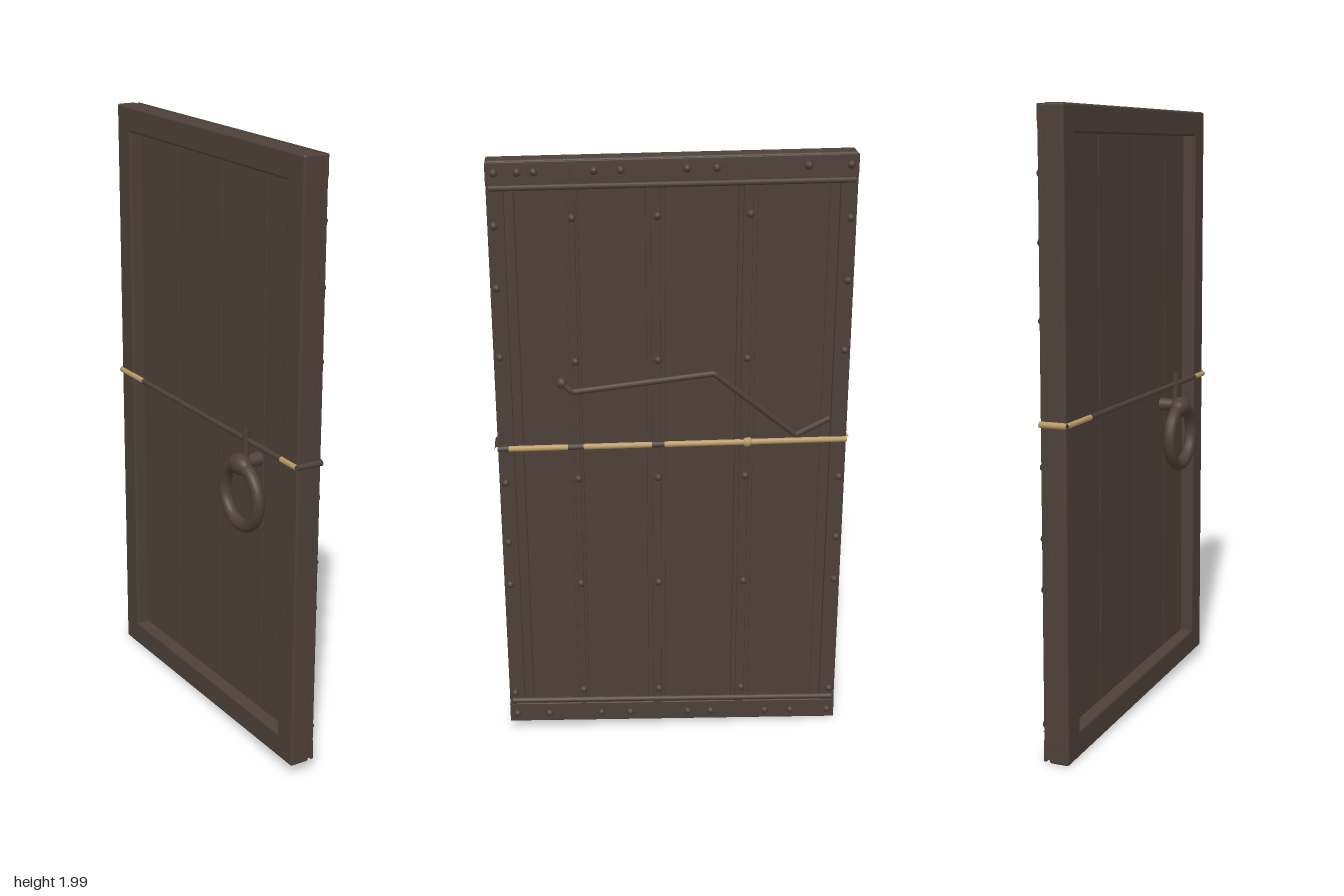
import * as THREE from 'three';
import { RoundedBoxGeometry } from 'three/addons/geometries/RoundedBoxGeometry.js';

export function createModel() {
  const root = new THREE.Group();
  root.name = 'door';
  const wood = new THREE.MeshStandardMaterial({ color: 0x4d4038 });
  wood.name = 'dark brown';
  const straw = new THREE.MeshStandardMaterial({ color: 0xb99a66 });
  straw.name = 'rope tan';
  const W = 0.565;

  // Worn door: the bottom edge rises and the top edge drops towards +z
  const sag = (y, z) => {
    const t = (z / W + 1) / 2;
    const bottom = 0.005 + 0.037 * t, top = 2 - 0.01 * t;
    return bottom + (top - bottom) * y / 2;
  };
  const add = (name, geometry, material = wood) => {
    const mesh = new THREE.Mesh(geometry, material);
    mesh.name = name;
    root.add(mesh);
    return mesh;
  };
  // Box given by its limits, following the sag
  const slab = (name, x0, x1, y0, y1, z0, z1, r = 0.004) => {
    const g = new RoundedBoxGeometry(x1 - x0, y1 - y0, z1 - z0, 2, r);
    g.translate((x0 + x1) / 2, (y0 + y1) / 2, (z0 + z1) / 2);
    const p = g.attributes.position;
    for (let i = 0; i < p.count; i++) p.setY(i, sag(p.getY(i), p.getZ(i)));
    return add(name, g);
  };
  // Straight-segment rod through [x, y, z] points
  const rod = (name, points, radius, material = wood) => {
    const path = new THREE.CurvePath();
    const v = points.map(p => new THREE.Vector3(...p));
    for (let i = 1; i < v.length; i++) path.add(new THREE.LineCurve3(v[i - 1], v[i]));
    return add(name, new THREE.TubeGeometry(path, 16 * (v.length - 1), radius, 8), material);
  };

  // Outer frame, open in the middle
  for (const s of [-1, 1]) {
    const a = s * W, b = s * (W - 0.085);
    slab('frameStile', -0.02, 0.047, 0, 2, Math.min(a, b), Math.max(a, b), 0.008);
  }
  slab('frameTopRail', -0.02, 0.047, 1.915, 2, -W, W, 0.008);
  slab('frameBottomRail', -0.02, 0.047, 0, 0.085, -W, W, 0.008);

  // Planks filling the frame
  const seams = [-0.5, -0.23, 0.05, 0.31, 0.5];
  for (let i = 0; i < 4; i++) {
    slab('plank', 0.024, 0.04, 0.06, 1.94, seams[i] + 0.001, seams[i + 1] - 0.001, 0.002);
  }

  // Vertical straps over the seams and along both edges
  for (const [z, w] of [[0.31, 0.04], [0.055, 0.06], [-0.23, 0.06]]) {
    slab('seamStrap', 0.036, 0.055, 0.02, 1.985, z - w / 2, z + w / 2);
    slab('seamRidge', 0.05, 0.065, 0.02, 1.985, z - w / 4, z + w / 4);
  }
  for (const s of [-1, 1]) {
    slab('edgeStrap', 0.04, 0.064, 0.01, 1.995, s * 0.538 - 0.026, s * 0.538 + 0.026);
  }

  // Cross bands and rods standing off the planks
  slab('topBand', 0.056, 0.065, 1.925, 1.998, -W, W, 0.003);
  slab('bottomBand', 0.056, 0.065, 0.004, 0.075, -W, W, 0.003);
  for (const y of [1.918, 0.09]) {
    rod('crossRod', [[0.066, sag(y, -W), -0.555], [0.066, sag(y, W), 0.555]], 0.009);
  }

  // Rivets
  const spots = [];
  for (const z of [0.54, 0.47, 0.42, 0.24, 0.16, -0.04, -0.13, -0.41, -0.54]) spots.push([1.965, z]);
  for (const z of [0.54, 0.43, 0.25, 0.15, -0.05, -0.13, -0.32, -0.41, -0.54]) spots.push([0.035, z]);
  for (const y of [1.8, 1.6, 1.37, 0.93, 0.71, 0.55, 0.12]) spots.push([y, 0.545], [y, -0.545]);
  for (const z of [0.31, 0.05, -0.235]) {
    for (const y of [1.82, 1.35, 0.94, 0.55, 0.13]) spots.push([y, z]);
  }
  const rivetShape = new THREE.SphereGeometry(0.013, 10, 8);
  for (const [y, z] of spots) {
    add('rivet', rivetShape).position.set(0.063, sag(y, z), z);
  }

  // Bent loose wire over the planks
  rod('bentWire', [[0.062, 1.29, 0.365], [0.066, 1.255, 0.32], [0.066, 1.305, -0.13],
    [0.064, 1.23, -0.22], [0.05, 1.08, -0.4], [0.06, 1.14, -0.51]], 0.01);
  add('wireEnd', new THREE.SphereGeometry(0.018, 10, 8)).position.set(0.06, 1.285, 0.355);

  // Rope tied round the door, bare cord in places
  const ropeY = 1.066;
  const front = [[W, 0.53, wood], [0.53, 0.34, straw], [0.34, 0.29, wood], [0.29, 0.07, straw],
    [0.07, 0.03, wood], [0.03, -W, straw]];
  for (const [a, b, m] of front) {
    rod('ropeFront', [[0.063, ropeY, a], [0.063, ropeY, b]], 0.01, m);
  }
  const back = [[W, 0.48, straw], [0.48, -0.4, wood], [-0.4, -W, straw]];
  for (const [a, b, m] of back) {
    rod('ropeBack', [[-0.022, ropeY, a], [-0.022, ropeY, b]], 0.009, m);
  }
  rod('ropeEdge', [[-0.024, ropeY, W], [0.066, ropeY, W]], 0.01);
  rod('ropeEdge', [[-0.024, ropeY, -W], [0.066, ropeY, -W]], 0.01, straw);
  add('ropeKnot', new THREE.SphereGeometry(0.017, 10, 8), straw).position.set(0.062, ropeY, -0.24);

  // Ring pull on the back
  const ring = add('ringPull', new THREE.TorusGeometry(0.1, 0.021, 12, 36));
  ring.rotation.y = Math.PI / 2;
  ring.position.set(-0.045, 0.888, 0.29);
  const clasp = add('ringClasp', new THREE.SphereGeometry(1, 16, 12));
  clasp.scale.set(0.032, 0.034, 0.05);
  clasp.position.set(-0.047, 0.99, 0.285);
  const mount = add('ringMount', new THREE.CylinderGeometry(0.018, 0.024, 0.07, 12));
  mount.rotation.z = Math.PI / 2;
  mount.position.set(-0.008, 0.995, 0.285);
  rod('ringHook', [[-0.026, 1.0, 0.285], [-0.028, 1.11, 0.285]], 0.01);

  return root;
}
